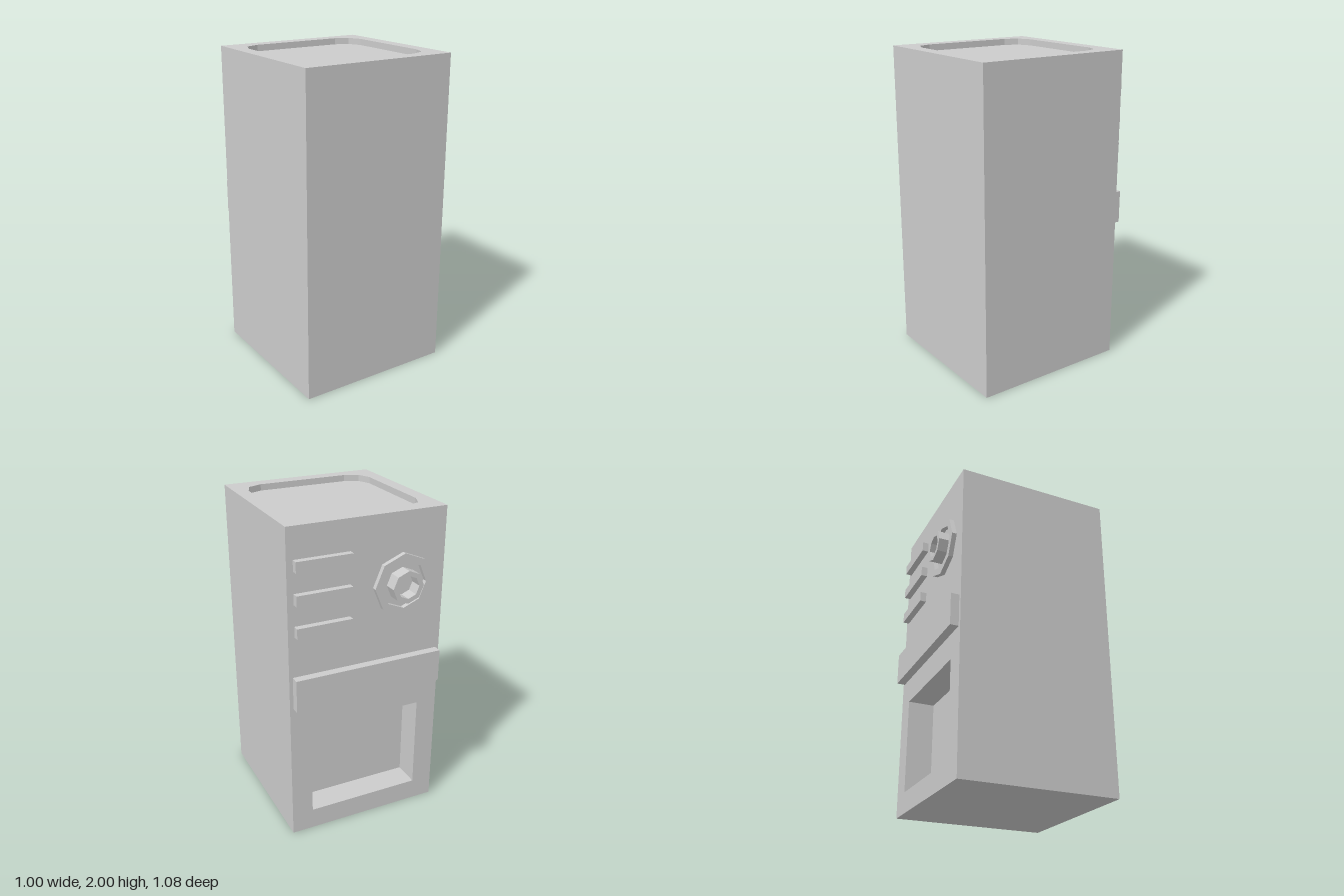
import * as THREE from 'three';
import { mergeGeometries } from 'three/addons/utils/BufferGeometryUtils.js';

const material = new THREE.MeshStandardMaterial({ color: 0xcccccc, flatShading: true });
const BACK = -0.46, FRONT = 0.54, MID = 0.04, HEIGHT = 2;

function addMesh(parent, name, geometry, x = 0, y = 0, z = 0) {
  const mesh = new THREE.Mesh(geometry, material);
  mesh.name = name;
  mesh.position.set(x, y, z);
  parent.add(mesh);
  return mesh;
}

const points = (list) => list.map(([x, y]) => new THREE.Vector2(x, y));

const rectangle = (x0, y0, x1, y1) => points([[x0, y0], [x1, y0], [x1, y1], [x0, y1]]);

const octagon = (r) => Array.from({ length: 8 }, (_, i) =>
  new THREE.Vector2(r * Math.cos(i * Math.PI / 4), r * Math.sin(i * Math.PI / 4)));

// Panel facing +z with a pocket: pierced face, inward walls and floor (outlines run counter-clockwise)
function recessedPanel(outline, opening, depth) {
  const face = new THREE.Shape(outline);
  face.holes.push(new THREE.Path(opening));
  const floor = new THREE.ShapeGeometry(new THREE.Shape(opening)).translate(0, 0, -depth);
  const walls = opening.map((a, i) => {
    const b = opening[(i + 1) % opening.length];
    return new THREE.PlaneGeometry(a.distanceTo(b), depth)
      .rotateX(-Math.PI / 2)
      .rotateZ(Math.atan2(b.y - a.y, b.x - a.x))
      .translate((a.x + b.x) / 2, (a.y + b.y) / 2, -depth / 2);
  });
  return mergeGeometries([new THREE.ShapeGeometry(face), floor, ...walls]);
}

// Octagonal ring standing out from the back face
function ring(outer, inner, depth) {
  const shape = new THREE.Shape(octagon(outer));
  shape.holes.push(new THREE.Path(octagon(inner)));
  return new THREE.ExtrudeGeometry(shape, { depth, bevelEnabled: false }).rotateY(Math.PI);
}

export function createModel() {
  const model = new THREE.Group();
  model.name = 'cabinet';

  // Plain outer walls and base
  const body = new THREE.Group();
  body.name = 'body';
  model.add(body);
  addMesh(body, 'frontWall', new THREE.PlaneGeometry(1, HEIGHT), 0, HEIGHT / 2, FRONT);
  for (const [name, side] of [['leftWall', 1], ['rightWall', -1]]) {
    addMesh(body, name, new THREE.PlaneGeometry(1, HEIGHT).rotateY(side * Math.PI / 2),
      side * 0.5, HEIGHT / 2, MID);
  }
  addMesh(body, 'base', new THREE.PlaneGeometry(1, 1).rotateX(Math.PI / 2), 0, 0, MID);

  // Top with a shallow tray with clipped corners
  const tray = points([
    [0.415, -0.29], [0.415, 0.29], [0.38, 0.378], [0.292, 0.413],
    [-0.292, 0.413], [-0.38, 0.378], [-0.415, 0.29], [-0.415, -0.29],
    [-0.38, -0.378], [-0.292, -0.413], [0.292, -0.413], [0.38, -0.378],
  ]);
  addMesh(body, 'topTray',
    recessedPanel(rectangle(-0.5, -0.5, 0.5, 0.5), tray, 0.04).rotateX(-Math.PI / 2), 0, HEIGHT, MID);

  // Back wall with a deep square pocket
  addMesh(body, 'backWall',
    recessedPanel(rectangle(-0.5, 0, 0.5, HEIGHT), rectangle(-0.365, 0.135, 0.365, 0.738), 0.17)
      .rotateY(Math.PI), 0, 0, BACK);

  // Wide bar across the back
  addMesh(model, 'crossBar', new THREE.BoxGeometry(0.955, 0.205, 0.053), 0, 1.003, BACK - 0.0265);

  // Three short slats
  for (const y of [1.39, 1.585, 1.78]) {
    addMesh(model, 'slat', new THREE.BoxGeometry(0.345, 0.065, 0.04), 0.288, y, BACK - 0.02);
  }

  // Octagonal dial: low collar and hollow knob
  const dial = new THREE.Group();
  dial.name = 'dial';
  dial.position.set(-0.22, 1.57, BACK);
  model.add(dial);
  addMesh(dial, 'collar', ring(0.19, 0.145, 0.03));
  addMesh(dial, 'knob', ring(0.1, 0.07, 0.08));

  return model;
}
